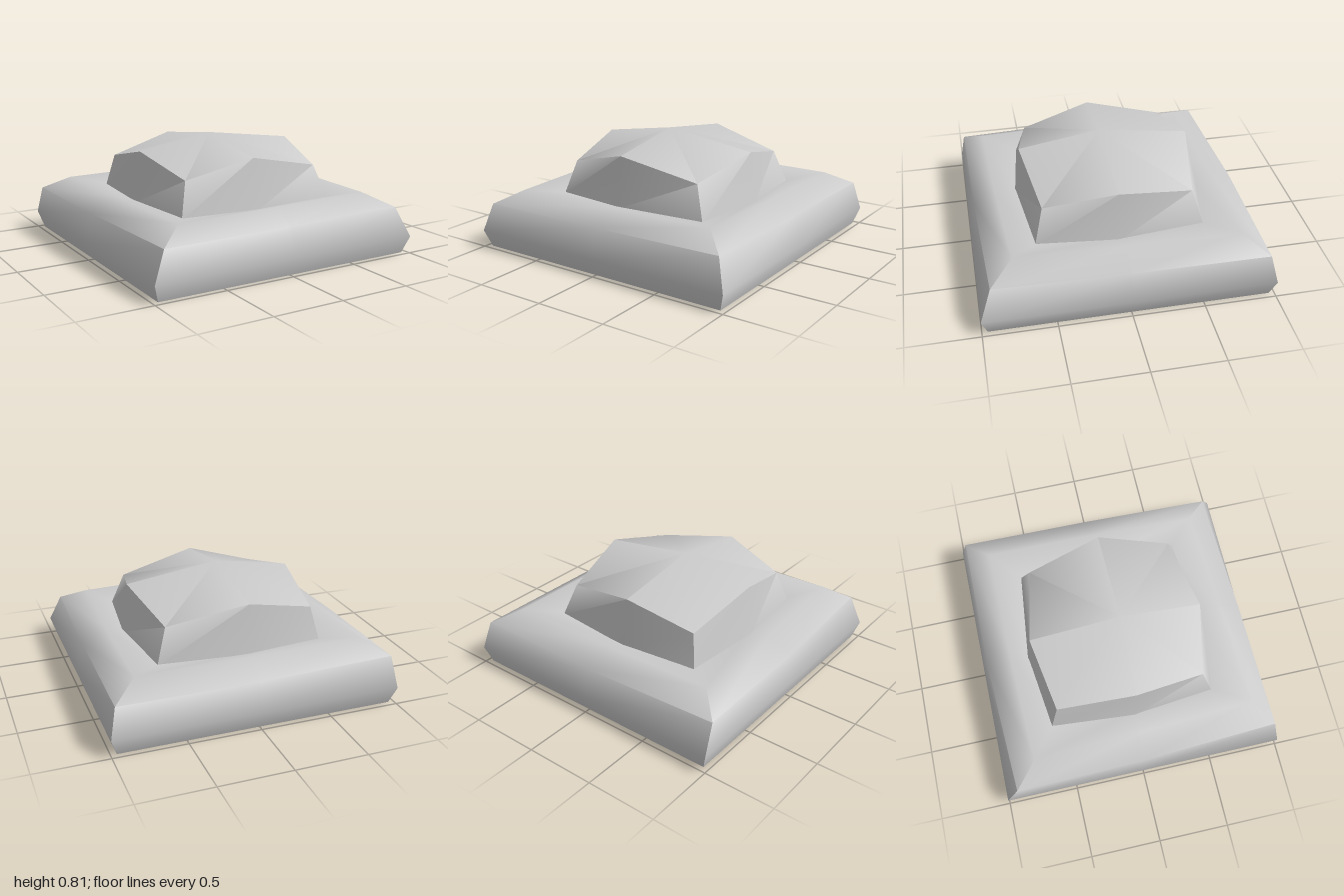
import * as THREE from 'three';
import { toCreasedNormals } from 'three/addons/utils/BufferGeometryUtils.js';

// Eight [x, z] points (corner, mid, corner, ...) turned into a loop, counter-clockwise from above.
const ring = (cornerY, midY, xz) =>
  xz.map(([x, z], i) => [x, i % 2 ? midY : cornerY, z]);

const square = (half, y, mid = half) => ring(y, y, [
  [half, half], [mid, 0], [half, -half], [0, -mid],
  [-half, -half], [-mid, 0], [-half, half], [0, mid],
]);

// Skins stacked loops from the bottom up and closes both ends with a fan.
function loft(rings, bottomCentre, topCentre) {
  const pos = [];
  const tri = (...pts) => pts.forEach((p) => pos.push(...p));
  const n = rings[0].length;
  const last = rings[rings.length - 1];
  for (let i = 0; i < n; i++) {
    const j = (i + 1) % n;
    tri(bottomCentre, rings[0][j], rings[0][i]);
    for (let k = 0; k < rings.length - 1; k++) {
      const a = rings[k], b = rings[k + 1];
      tri(a[i], a[j], b[j]);
      tri(a[i], b[j], b[i]);
    }
    tri(topCentre, last[i], last[j]);
  }
  const geo = new THREE.BufferGeometry();
  geo.setAttribute('position', new THREE.Float32BufferAttribute(pos, 3));
  return toCreasedNormals(geo, Math.PI / 3);
}

export function createModel() {
  const group = new THREE.Group();
  const material = new THREE.MeshStandardMaterial({ color: 0xcccccc });
  const add = (name, geometry) => {
    const mesh = new THREE.Mesh(geometry, material);
    mesh.name = name;
    group.add(mesh);
  };

  // Wide square base: slightly uneven shoulder and rim, dipping towards the middle
  add('base', loft([
    square(0.96, 0),
    square(1, 0.12),
    ring(0.325, 0.325, [
      [0.92, 0.92], [0.945, 0], [0.955, -0.95], [0, -0.955],
      [-0.985, -0.91], [-0.97, 0], [-0.92, 0.97], [0, 0.955],
    ]),
    ring(0.42, 0.42, [
      [0.75, 0.755], [0.775, 0], [0.785, -0.785], [0, -0.775],
      [-0.82, -0.75], [-0.79, 0], [-0.75, 0.83], [0, 0.8],
    ]),
    square(0.57, 0.37, 0.62),
  ], [0, 0, 0], [0, 0.37, 0]));

  // Bulging block on top: faces bow out at the middle, roof rises to a low peak
  add('topBlock', loft([
    ring(0.36, 0.36, [
      [0.585, 0.585], [0.65, 0.03], [0.575, -0.585], [-0.06, -0.655],
      [-0.6, -0.585], [-0.65, 0.01], [-0.59, 0.585], [-0.06, 0.65],
    ]),
    ring(0.6, 0.72, [
      [0.5, 0.52], [0.605, 0.02], [0.495, -0.515], [-0.06, -0.61],
      [-0.55, -0.525], [-0.605, 0.02], [-0.525, 0.515], [-0.06, 0.605],
    ]),
  ], [0, 0.36, 0], [-0.06, 0.81, 0.03]));

  return group;
}
